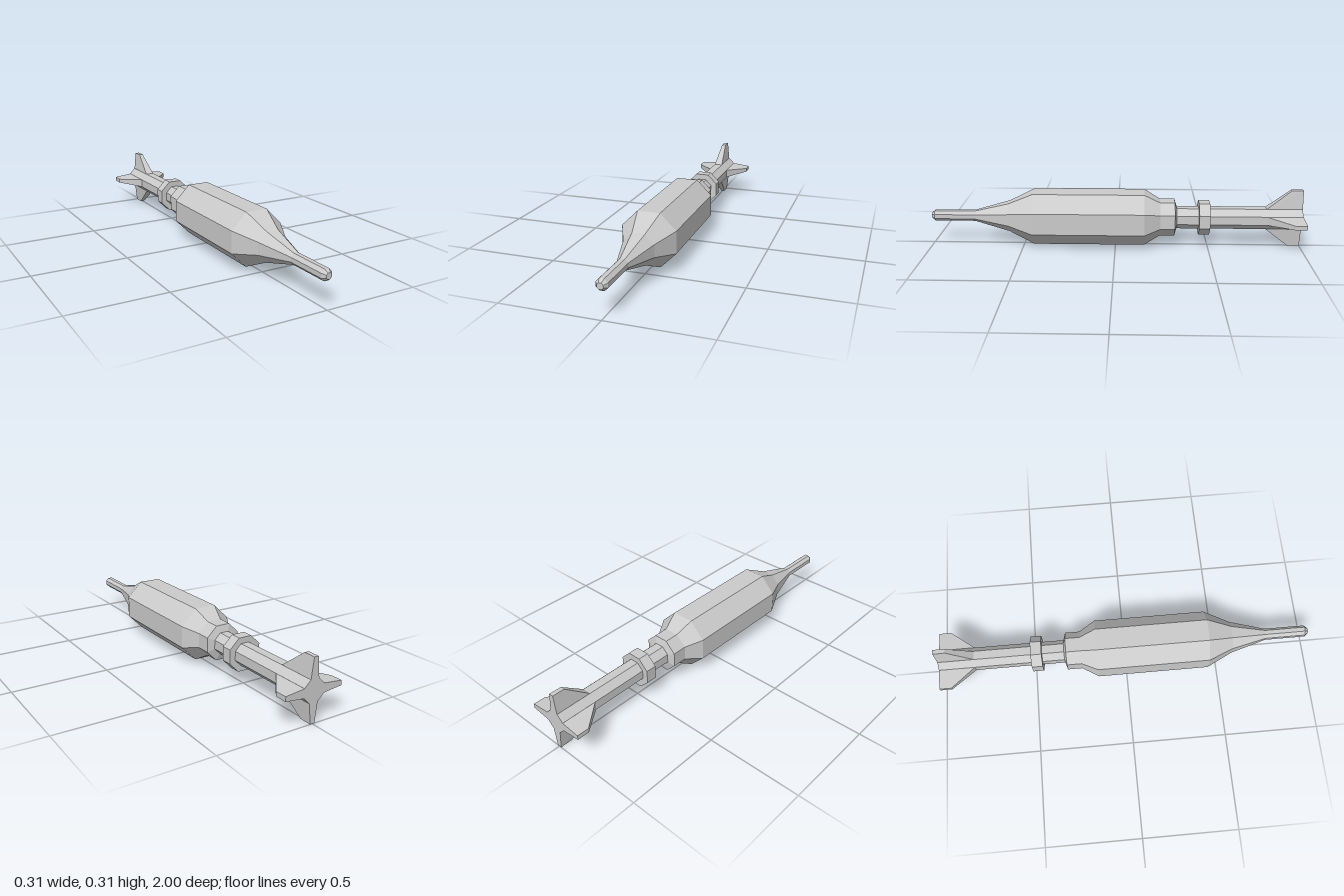
import * as THREE from 'three';

const AXIS_Y = 0.157;
const material = new THREE.MeshStandardMaterial({ color: 0xcccccc, flatShading: true });

// Eight-sided turned part along z; profile is [flat-to-centre distance, z], back to front
function octagonal(name, profile) {
  const points = profile.map(([a, z]) => new THREE.Vector2(a / Math.cos(Math.PI / 8), z));
  const geometry = new THREE.LatheGeometry(points, 8, Math.PI / 8);
  geometry.rotateX(Math.PI / 2);
  const mesh = new THREE.Mesh(geometry, material);
  mesh.name = name;
  return mesh;
}

// Swept fin: a box whose outer end is narrower and whose leading edge slopes back
function finGeometry() {
  const geometry = new THREE.BoxGeometry(1, 1, 1);
  const p = geometry.attributes.position;
  for (let i = 0; i < p.count; i++) {
    const outer = p.getY(i) > 0;
    const front = p.getZ(i) > 0;
    const halfWidth = outer ? (front ? 0.011 : 0.012) : 0.023;
    p.setXYZ(
      i,
      Math.sign(p.getX(i)) * halfWidth,
      outer ? 0.157 : 0.055,
      front ? (outer ? -0.937 : -0.808) : -1
    );
  }
  geometry.computeVertexNormals();
  return geometry;
}

export function createModel() {
  const model = new THREE.Group();
  model.name = 'finnedProjectile';
  const assembly = new THREE.Group();
  assembly.name = 'assembly';
  assembly.position.y = AXIS_Y;
  model.add(assembly);

  // Body with rear collar, tapered nose and slim fuse probe
  assembly.add(octagonal('body', [
    [0, -0.33], [0.056, -0.33], [0.092, -0.318], [0.092, -0.24],
    [0.14, -0.155], [0.14, 0.44], [0.078, 0.575], [0.028, 0.765],
    [0.028, 0.982], [0.015, 1], [0, 1],
  ]));

  // Tail shaft
  assembly.add(octagonal('tailShaft', [[0, -1], [0.056, -1], [0.056, -0.32]]));

  // Ring around the shaft
  assembly.add(octagonal('shaftRing', [
    [0.05, -0.505], [0.087, -0.505], [0.087, -0.447], [0.05, -0.447],
  ]));

  // Four tail fins
  const fin = finGeometry();
  for (let i = 0; i < 4; i++) {
    const mesh = new THREE.Mesh(fin, material);
    mesh.name = `tailFin${i + 1}`;
    mesh.rotation.z = (i * Math.PI) / 2;
    assembly.add(mesh);
  }

  return model;
}
